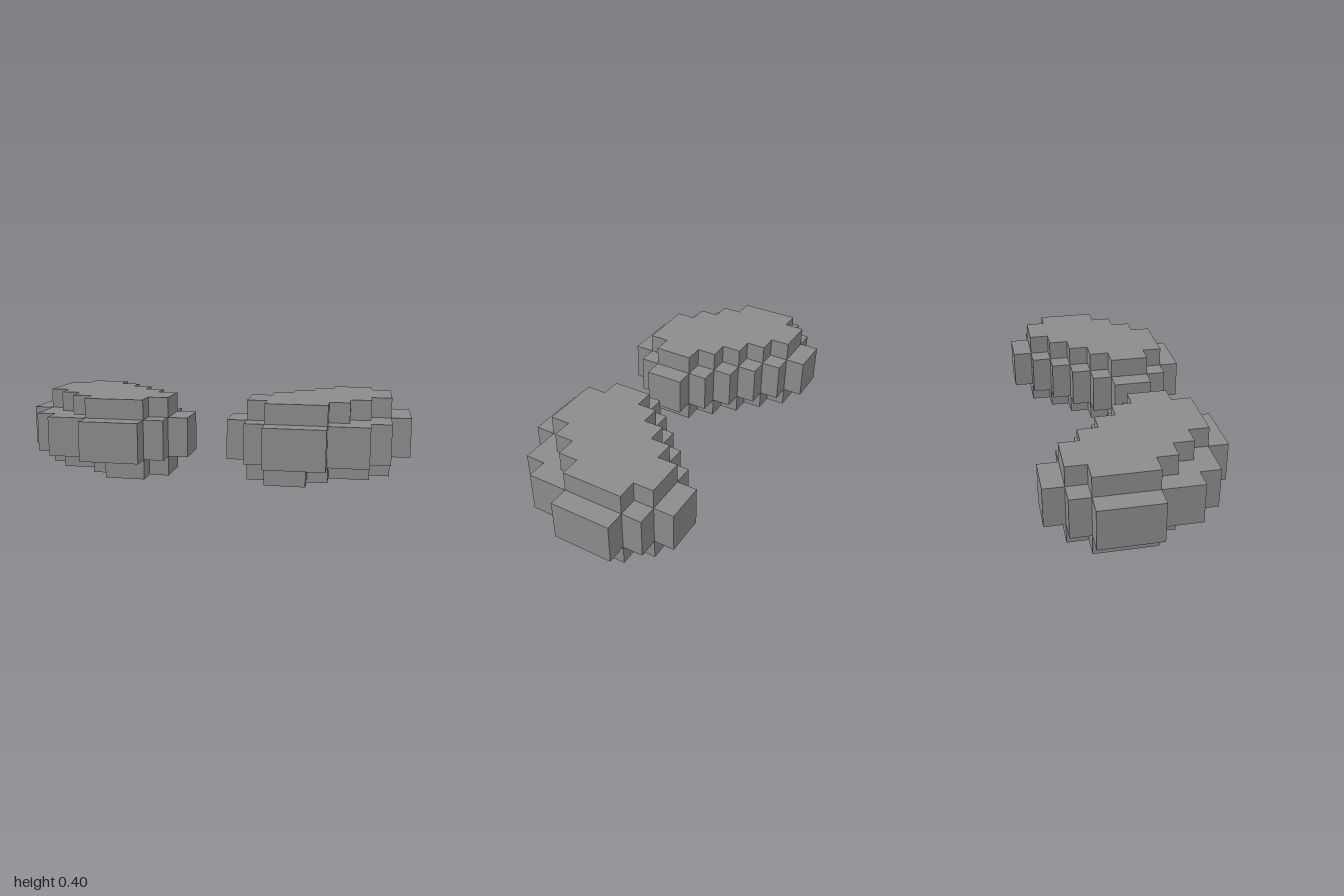
import * as THREE from 'three';

const CELL = 0.1;

// Each layer: bottom, top, back edge z, then [inner x, outer x] per row from back to front
const LAYERS = [
  { name: 'lowerLayer', y0: 0, y1: 0.1, back: -0.35,
    rows: [[.6, .8], [.5, .9], [.4, .9], [.3, .9], [.2, .8], [.2, .6], [.3, .5]] },
  { name: 'middleLayer', y0: 0.1, y1: 0.3, back: -0.45,
    rows: [[.6, .8], [.5, .9], [.4, 1], [.3, 1], [.2, 1], [.1, .9], [.1, .9], [.2, .8], [.3, .6]] },
  { name: 'upperLayer', y0: 0.3, y1: 0.4, back: -0.35,
    rows: [[.6, .8], [.5, .9], [.4, .9], [.3, .9], [.2, .8], [.2, .7], [.3, .6]] },
];

// Stepped outline traced down the outer edge and back up the inner edge
function steppedOutline(rows, back, side) {
  const outer = [], inner = [];
  rows.forEach(([a, b], i) => {
    const z0 = back + i * CELL, z1 = z0 + CELL;
    outer.push([b, z0], [b, z1]);
    inner.push([a, z0], [a, z1]);
  });
  const points = [...outer, ...inner.reverse()]
    .map(([x, z]) => new THREE.Vector2(side * x, z))
    .filter((p, i, all) => i === 0 || p.distanceTo(all[i - 1]) > 1e-4);
  return new THREE.Shape(points);
}

function makeLayer({ name, y0, y1, back, rows }, side, material) {
  const geometry = new THREE.ExtrudeGeometry(steppedOutline(rows, back, side),
    { depth: y1 - y0, bevelEnabled: false });
  geometry.rotateX(Math.PI / 2).translate(0, y1, 0);
  const mesh = new THREE.Mesh(geometry, material);
  mesh.name = name;
  return mesh;
}

export function createModel() {
  const stone = new THREE.MeshStandardMaterial({ color: 0x8c8c8c });
  stone.name = 'stoneGrey';

  const model = new THREE.Group();
  model.name = 'blockyStonePair';

  // Two mirrored halves, each a stack of three stepped slabs
  for (const side of [1, -1]) {
    const half = new THREE.Group();
    half.name = side > 0 ? 'leftStone' : 'rightStone';
    for (const layer of LAYERS) half.add(makeLayer(layer, side, stone));
    model.add(half);
  }
  return model;
}
